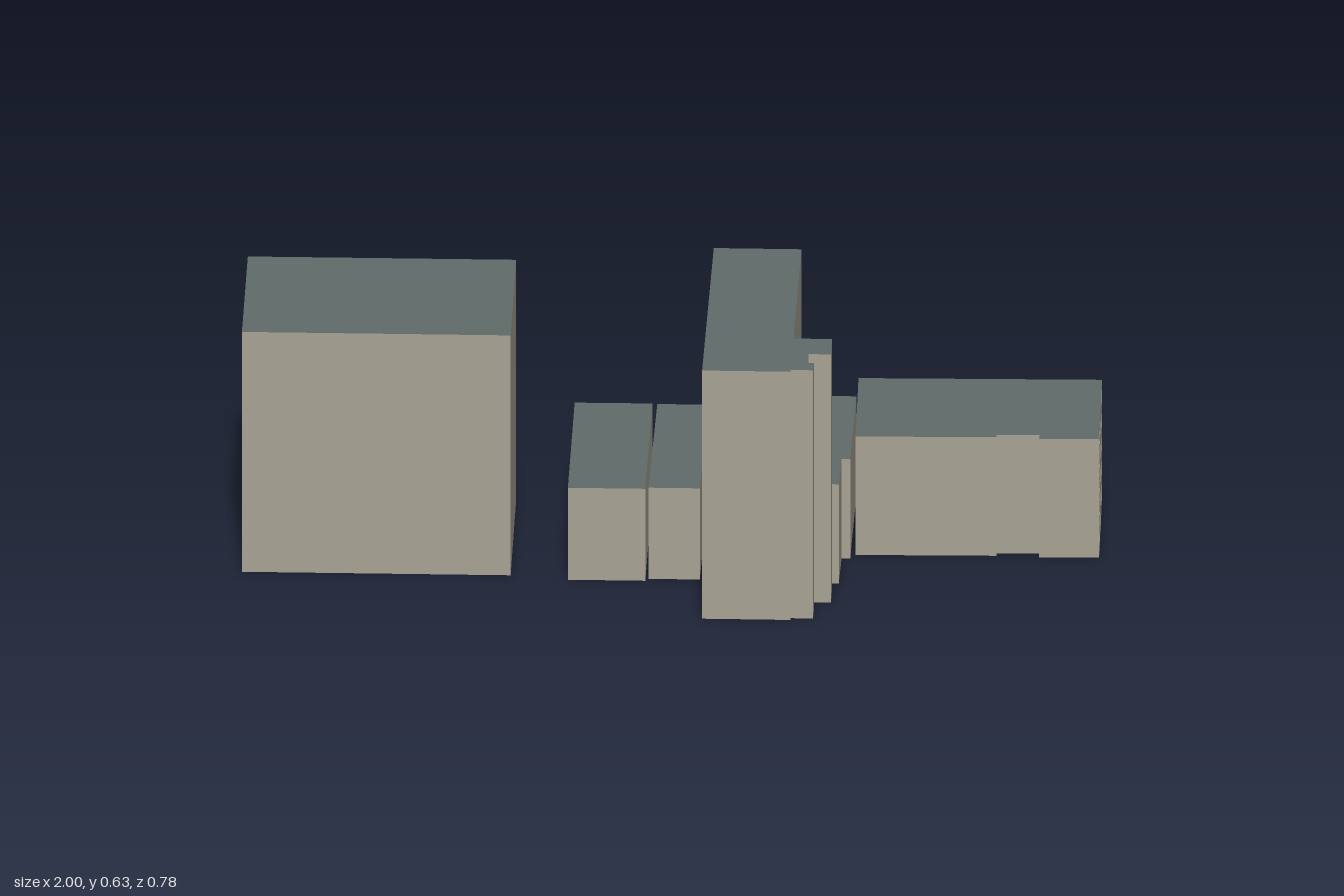
import * as THREE from 'three';
import { mergeGeometries } from 'three/addons/utils/BufferGeometryUtils.js';

const wallMat = new THREE.MeshStandardMaterial({ color: 0xa8a294, side: THREE.DoubleSide });
wallMat.name = 'stone wall';
const slateMat = new THREE.MeshStandardMaterial({ color: 0x5f6b6a, side: THREE.DoubleSide });
slateMat.name = 'slate and glass';

const RECESS = 0.005;

// Footprints as [x, z], from the back left corner via the back right corner.
// "windowed" lists the footprint edges that carry windows.
const buildings = [
  { name: 'largeBlock', height: 0.605, windowed: [0, 3],
    plan: [[-0.995, -0.355], [-0.368, -0.346], [-0.372, 0.122], [-1, 0.112]] },
  { name: 'lowWingOuter', height: 0.232, windowed: [0, 3],
    plan: [[-0.232, -0.38], [-0.05, -0.378], [-0.057, 0.15], [-0.238, 0.147]] },
  { name: 'lowWingInner', height: 0.23, windowed: [0, 3],
    plan: [[-0.039, -0.38], [0.08, -0.378], [0.07, 0.14], [-0.05, 0.138]] },
  { name: 'tower', height: 0.626, windowed: [0, 11],
    plan: [[0.093, -0.376], [0.298, -0.372], [0.29, 0.18], [0.38, 0.182], [0.379, 0.277], [0.327, 0.276],
      [0.327, 0.331], [0.34, 0.331], [0.339, 0.376], [0.286, 0.375], [0.286, 0.386], [0.08, 0.382]] },
  { name: 'linkBlock', height: 0.25, windowed: [0, 5],
    plan: [[0.315, -0.39], [0.426, -0.387], [0.419, 0.002], [0.399, 0.002], [0.395, 0.158], [0.305, 0.155]] },
  { name: 'longBlock', height: 0.299, windowed: [0, 1, 7],
    plan: [[0.431, -0.38], [1, -0.38], [1, -0.013], [0.86, -0.01], [0.86, -0.037], [0.76, -0.035],
      [0.76, -0.02], [0.431, -0.019]] },
];

function rectangle(target, x0, y0, x1, y1) {
  return target.moveTo(x0, y0).lineTo(x1, y0).lineTo(x1, y1).lineTo(x0, y1).closePath();
}

// Even window grid; the ground floor openings are taller
function windowGrid(length, height) {
  const cols = Math.max(1, Math.round(length / 0.0525));
  const rows = Math.round(height / 0.06);
  const pitch = length / cols, floor = height / rows;
  const cells = [];
  for (let r = 0; r < rows; r++) {
    for (let c = 0; c < cols; c++) {
      const h = floor * (r ? 0.55 : 0.69);
      cells.push({
        x: (c + 0.5) * pitch, w: pitch * 0.61, h,
        y: r * floor + floor * (r ? 0.27 : 0.17) + h / 2,
      });
    }
  }
  return cells;
}

// Square open tube lining one window opening
function reveal({ x, y, w, h }) {
  const g = new THREE.CylinderGeometry(Math.SQRT1_2, Math.SQRT1_2, 1, 4, 1, true, Math.PI / 4)
    .rotateX(Math.PI / 2).scale(w, h, RECESS).translate(x, y, -RECESS / 2).toNonIndexed();
  g.computeVertexNormals();
  return g;
}

function addMesh(group, name, geometry, material) {
  const mesh = new THREE.Mesh(geometry, material);
  mesh.name = name;
  group.add(mesh);
}

// Wall between two plan points, facing outward
function makeWall(start, end, height, hasWindows) {
  const wall = new THREE.Group();
  wall.name = 'wall';
  const dx = start[0] - end[0], dz = start[1] - end[1];
  const length = Math.hypot(dx, dz);
  const shape = rectangle(new THREE.Shape(), 0, 0, length, height);
  if (hasWindows) {
    const cells = windowGrid(length, height);
    for (const { x, y, w, h } of cells) {
      shape.holes.push(rectangle(new THREE.Path(), x - w / 2, y - h / 2, x + w / 2, y + h / 2));
    }
    const panes = cells.map(({ x, y, w, h }) =>
      new THREE.PlaneGeometry(w, h).translate(x, y, -RECESS));
    addMesh(wall, 'windowPanes', mergeGeometries(panes), slateMat);
    addMesh(wall, 'windowReveals', mergeGeometries(cells.map(reveal)), wallMat);
  }
  addMesh(wall, 'wallFace', new THREE.ShapeGeometry(shape), wallMat);
  wall.position.set(end[0], 0, end[1]);
  wall.rotation.y = Math.atan2(-dz, dx);
  return wall;
}

// Open-bottomed shell with a flat roof
function makeBuilding({ name, height, windowed, plan }) {
  const group = new THREE.Group();
  group.name = name;
  plan.forEach((p, i) => {
    group.add(makeWall(p, plan[(i + 1) % plan.length], height, windowed.includes(i)));
  });
  const outline = new THREE.Shape(plan.map(([x, z]) => new THREE.Vector2(x, -z)));
  const roof = new THREE.ShapeGeometry(outline).rotateX(-Math.PI / 2).translate(0, height, 0);
  addMesh(group, 'roof', roof, slateMat);
  return group;
}

export function createModel() {
  const model = new THREE.Group();
  model.name = 'buildingCluster';
  for (const b of buildings) model.add(makeBuilding(b));
  return model;
}
